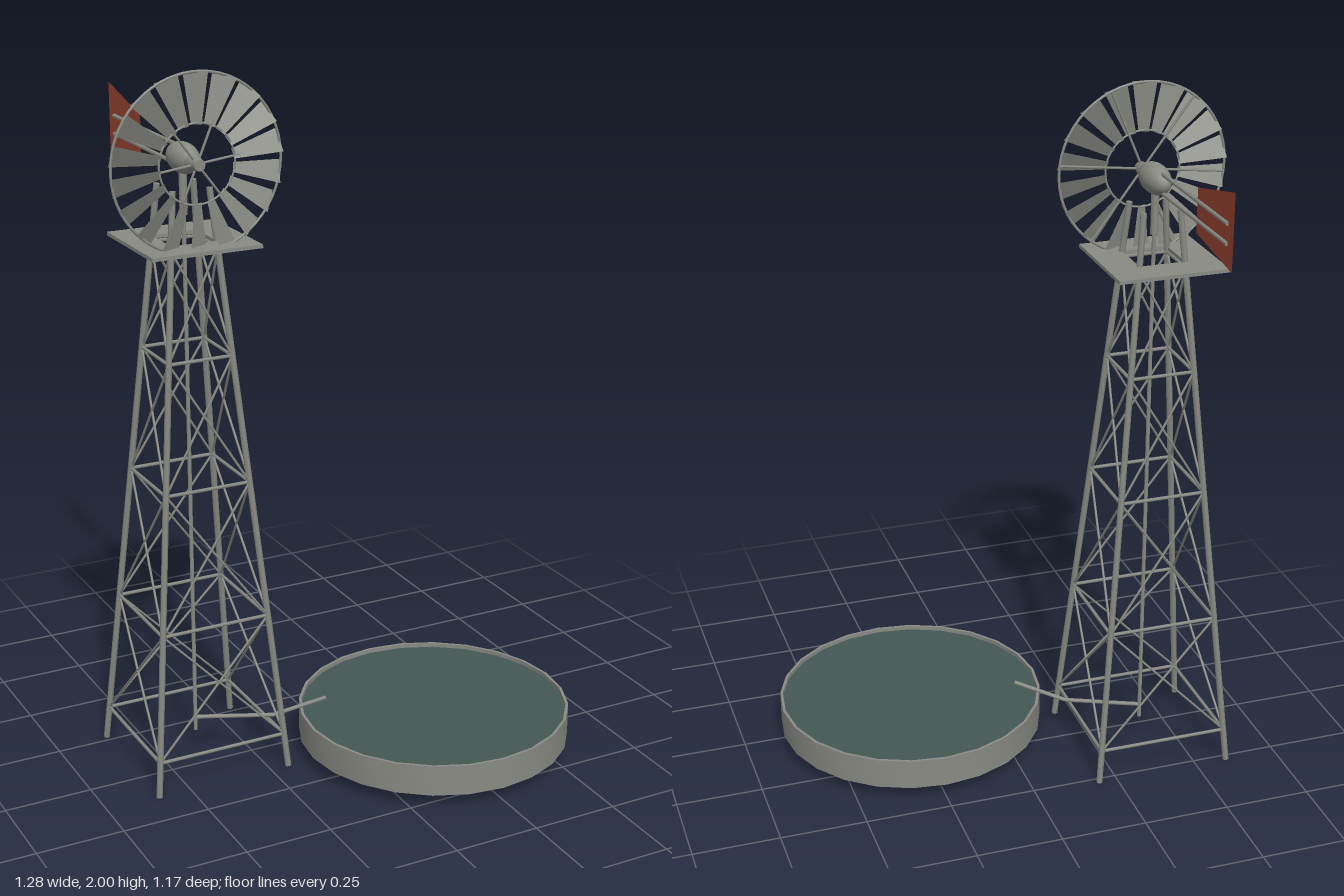
import * as THREE from 'three';
import { toCreasedNormals } from 'three/addons/utils/BufferGeometryUtils.js';

const V = (x, y, z) => new THREE.Vector3(x, y, z);

export function createModel() {
  const mat = (name, color, side = THREE.FrontSide) => {
    const m = new THREE.MeshStandardMaterial({ color, side });
    m.name = name;
    return m;
  };
  const steel = mat('galvanisedSteel', 0x8a8a84);
  const sheet = mat('sheetSteel', 0x8a8a84, THREE.DoubleSide);
  const red = mat('redPaint', 0x9e4632, THREE.DoubleSide);
  const water = mat('water', 0x445856, THREE.DoubleSide);

  const model = new THREE.Group();
  model.name = 'windPump';
  const group = (name, x = 0, y = 0, z = 0) => {
    const g = new THREE.Group();
    g.name = name;
    g.position.set(x, y, z);
    model.add(g);
    return g;
  };
  const add = (parent, name, geo, material) => {
    const m = new THREE.Mesh(geo, material);
    m.name = name;
    parent.add(m);
    return m;
  };
  // Round bar between two points
  const bar = (parent, name, a, b, r, sides = 6) => {
    const d = b.clone().sub(a);
    const m = add(parent, name, new THREE.CylinderGeometry(r, r, d.length(), sides), steel);
    m.position.copy(a).add(b).multiplyScalar(0.5);
    m.quaternion.setFromUnitVectors(V(0, 1, 0), d.normalize());
    return m;
  };

  // Tapered lattice tower
  const tower = group('tower', -0.395, 0, -0.07);
  const legTop = 1.68;
  const corner = (i, y) => {
    const h = THREE.MathUtils.lerp(0.2, 0.053, y / legTop);
    return V([1, -1, -1, 1][i % 4] * h, y, [1, 1, -1, -1][i % 4] * h);
  };
  const levels = [0.1, 0.465, 0.86, 1.22, 1.52];
  for (let i = 0; i < 4; i++) {
    bar(tower, 'leg', corner(i, 0), corner(i, legTop), 0.009);
    levels.forEach((y, k) => {
      bar(tower, 'girt', corner(i, y), corner(i + 1, y), 0.005);
      if (k === levels.length - 1) return;
      const next = levels[k + 1];
      bar(tower, 'crossBrace', corner(i, y), corner(i + 1, next), 0.0035);
      bar(tower, 'crossBrace', corner(i + 1, y), corner(i, next), 0.0035);
    });
  }
  bar(tower, 'pumpRod', V(0, 0.07, 0), V(0, 1.62, 0), 0.006, 8);
  bar(tower, 'mast', V(0, 1.6, 0), V(0, 1.73, 0), 0.011, 10);

  // Square platform with a central opening
  const square = (Type, h) => new Type([[-h, -h], [h, -h], [h, h], [-h, h]].map(([x, y]) => new THREE.Vector2(x, y)));
  const deck = square(THREE.Shape, 0.158);
  deck.holes.push(square(THREE.Path, 0.066));
  const deckGeo = new THREE.ExtrudeGeometry(deck, { depth: 0.01, bevelEnabled: false });
  deckGeo.rotateX(-Math.PI / 2).translate(0, 1.526, 0);
  add(tower, 'platform', deckGeo, steel);

  // Delivery pipe with its rising spout
  const elbow = V(0.205, 0.11, 0.092);
  bar(tower, 'deliveryPipe', V(0, 0.11, 0), elbow, 0.006, 8);
  bar(tower, 'spout', elbow, V(0.345, 0.162, 0.155), 0.006, 8);

  // Gearbox head
  const head = group('head', -0.395, 1.755, -0.065);
  add(head, 'gearbox', new THREE.SphereGeometry(1, 20, 14).scale(0.038, 0.042, 0.077), steel);

  // Tail booms and thin vane
  for (const y of [0.027, -0.025]) bar(head, 'tailBoom', V(0, y, -0.04), V(0, y, -0.485), 0.006, 8);
  const vane = new THREE.Shape([[0.29, -0.06], [0.52, -0.09], [0.52, 0.118], [0.29, 0.062]]
    .map(([x, y]) => new THREE.Vector2(x, y)));
  add(head, 'tailVane', new THREE.ShapeGeometry(vane).rotateY(Math.PI / 2), red);

  // Wheel: hub, spokes, rings and pitched blades
  const wheel = group('wheel', -0.395, 1.755, 0.027);
  add(wheel, 'hub', new THREE.CylinderGeometry(0.016, 0.024, 0.05, 12).rotateX(Math.PI / 2), steel)
    .position.z = -0.007;
  add(wheel, 'outerRing', new THREE.TorusGeometry(0.241, 0.004, 6, 54), steel);
  add(wheel, 'innerRing', new THREE.TorusGeometry(0.108, 0.003, 6, 36), steel);
  for (let i = 0; i < 6; i++) {
    const a = (i / 6) * Math.PI * 2 + 0.12;
    bar(wheel, 'spoke', V(0, 0, 0), V(Math.cos(a) * 0.24, Math.sin(a) * 0.24, 0), 0.0035);
  }
  const blade = new THREE.Shape([[0.104, -0.014], [0.241, -0.033], [0.241, 0.033], [0.104, 0.014]]
    .map(([x, y]) => new THREE.Vector2(x, y)));
  const bladeGeo = new THREE.ShapeGeometry(blade).rotateX(-0.46);
  const count = 18;
  for (let i = 0; i < count; i++) {
    add(wheel, 'blade', bladeGeo, sheet).rotation.z = ((i + 0.5) / count) * Math.PI * 2;
  }

  // Round stock tank, open below, with water near the rim
  const tank = group('tank', 0.247, 0, 0.192);
  const wall = [[0.385, 0.04], [0.393, 0.04], [0.393, 0.13], [0.385, 0.13], [0.385, 0.04]]
    .map(([x, y]) => new THREE.Vector2(x, y));
  const wallGeo = new THREE.LatheGeometry(wall, 24).rotateY(Math.PI / 2);
  add(tank, 'tankWall', toCreasedNormals(wallGeo, 0.6), sheet);
  add(tank, 'waterSurface', new THREE.CircleGeometry(0.386, 24).rotateX(-Math.PI / 2), water)
    .position.y = 0.118;

  return model;
}
